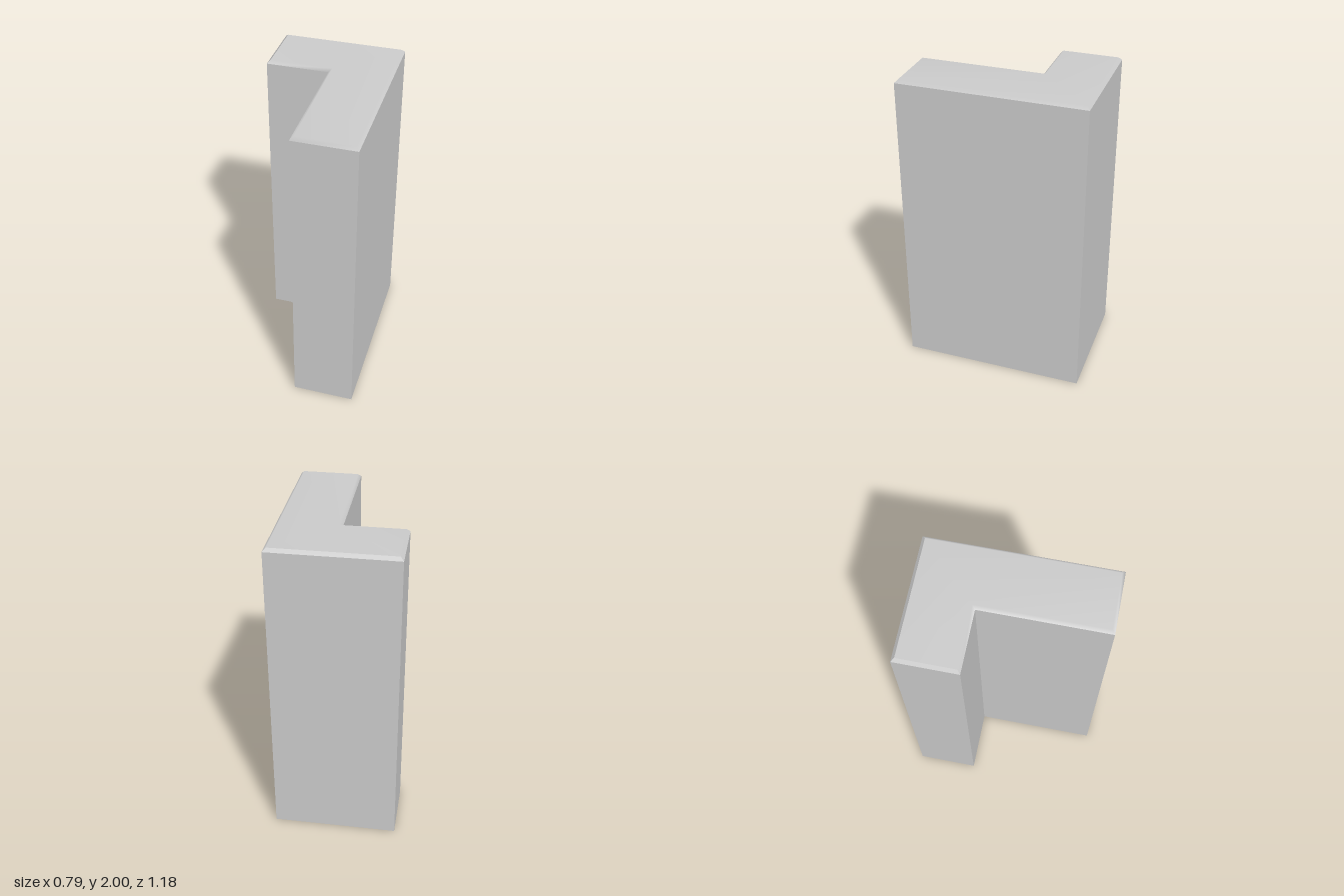
import * as THREE from 'three';

const W = 0.395, D = 0.592, H = 2, BEVEL = 0.02, NOTCH_Z = -0.2;

// L-shaped outline: x, z, and the inward direction of the bevel at each corner
const outline = [
  [-W, -D, 1, 1],
  [-W, NOTCH_Z, 1, -1],
  [0, NOTCH_Z, 1, -1],
  [0, D, 1, -1],
  [W, D, -1, -1],
  [W, -D, -1, 1],
];
const N = outline.length;

// Ring of corners at a height, pulled in by an inset
const ring = (y, inset) =>
  outline.map(([x, z, ix, iz]) => [x + ix * inset, y, z + iz * inset]);

// Mesh from corners and quads; flat quads keep their own corners
function quadMesh(name, points, quads, flat) {
  let geometry = new THREE.BufferGeometry();
  geometry.setAttribute('position', new THREE.Float32BufferAttribute(points.flat(), 3));
  geometry.setIndex(quads.flatMap(([a, b, c, d]) => [a, b, c, a, c, d]));
  if (flat) geometry = geometry.toNonIndexed();
  geometry.computeVertexNormals();
  const mesh = new THREE.Mesh(
    geometry,
    new THREE.MeshStandardMaterial({ color: 0xcccccc, side: THREE.DoubleSide })
  );
  mesh.name = name;
  return mesh;
}

export function createModel() {
  const group = new THREE.Group();
  group.name = 'cornerBlock';

  const base = ring(0, 0);
  const shoulder = ring(H - BEVEL, 0);
  const crown = ring(H, BEVEL);

  // Quads joining a lower ring to the ring after it
  const band = outline.map((_, i) => {
    const j = (i + 1) % N;
    return [i, j, j + N, i + N];
  });

  // Upright walls, open underneath
  group.add(quadMesh('walls', [...base, ...shoulder], band, true));

  // Top with softly shaded bevels on the front, side and notch edges
  const top = [[0, 1, 2, 5], [2, 3, 4, 5]].map((q) => q.map((i) => i + N));
  group.add(quadMesh('top', [...shoulder, ...crown], [...band.slice(1, 5), ...top], false));

  // Crisp bevels along the back and the short arm's end
  group.add(quadMesh('sharpBevels', [...shoulder, ...crown], [band[0], band[5]], true));

  return group;
}
